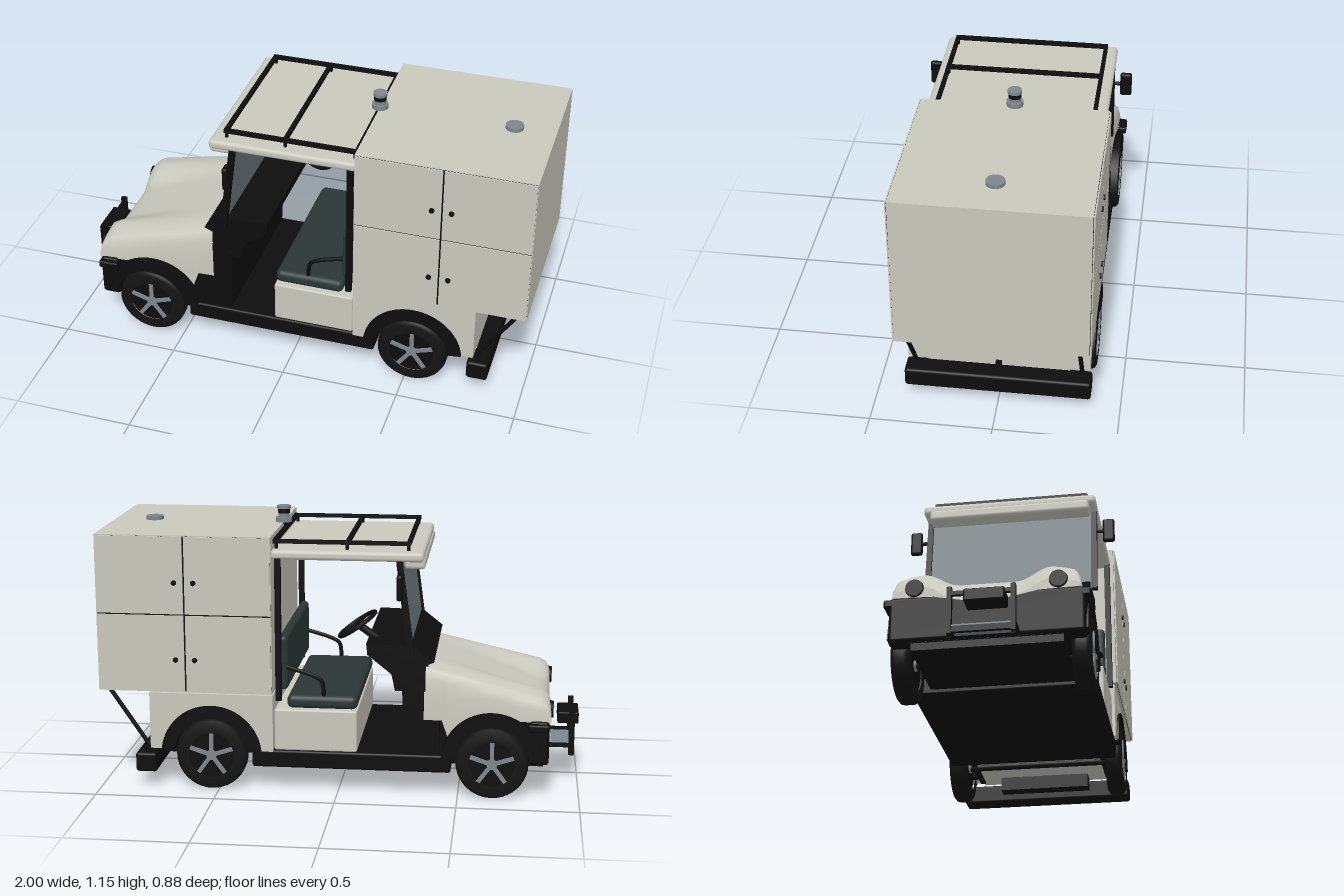
import * as THREE from 'three';
import { RoundedBoxGeometry } from 'three/addons/geometries/RoundedBoxGeometry.js';
import { toCreasedNormals } from 'three/addons/utils/BufferGeometryUtils.js';

const mat = (name, color, side = THREE.FrontSide) => {
  const m = new THREE.MeshStandardMaterial({ color, side });
  m.name = name;
  return m;
};

export function createModel() {
  const root = new THREE.Group();
  root.name = 'utilityCart';
  const paint = mat('paint', 0xc9c8bd, THREE.DoubleSide);
  const black = mat('black', 0x0d0d0d);
  const tyreMat = mat('tyre', 0x131313);
  const teal = mat('seatVinyl', 0x2b3637);
  const grey = mat('metalGrey', 0x7d878d);
  const glass = mat('glass', 0x6f7a80, THREE.DoubleSide);

  const add = (name, geo, m, parent = root) => {
    const mesh = new THREE.Mesh(geo, m);
    mesh.name = name;
    parent.add(mesh);
    return mesh;
  };
  // Box given by its limits, with optional rounding
  const box = (name, m, x0, x1, y0, y1, z0, z1, r = 0) => {
    const s = [x1 - x0, y1 - y0, z1 - z0];
    const g = r ? new RoundedBoxGeometry(...s, 3, r) : new THREE.BoxGeometry(...s);
    g.translate((x0 + x1) / 2, (y0 + y1) / 2, (z0 + z1) / 2);
    return add(name, g, m);
  };
  // Round bar between two points
  const bar = (name, m, a, b, r) => {
    const A = new THREE.Vector3(...a), B = new THREE.Vector3(...b);
    const d = B.clone().sub(A);
    const mesh = add(name, new THREE.CylinderGeometry(r, r, d.length(), 10), m);
    mesh.position.copy(A).add(B).multiplyScalar(0.5);
    mesh.quaternion.setFromUnitVectors(new THREE.Vector3(0, 1, 0), d.normalize());
    return mesh;
  };
  // Side profile extruded from z0 to z1
  const extrude = (name, m, shape, z0, z1) => {
    const g = new THREE.ExtrudeGeometry(shape, { depth: z1 - z0, bevelEnabled: false, curveSegments: 24 });
    g.translate(0, 0, z0);
    return add(name, toCreasedNormals(g, 0.6), m);
  };
  const poly = (pts) => new THREE.Shape(pts.map((p) => new THREE.Vector2(...p)));
  const drum = (name, m, x, y0, y1, r) =>
    add(name, new THREE.CylinderGeometry(r, r, y1 - y0, 28), m).position.set(x, (y0 + y1) / 2, 0);
  const sides = [1, -1];

  // Cargo box with four doors on each side
  box('cargoBox', paint, 0.27, 1.0, 0.42, 1.08, -0.381, 0.381);
  for (const s of sides) {
    const zr = (a, b) => (s > 0 ? [a, b] : [-b, -a]);
    box('doorGap', black, 0.273, 0.997, 0.424, 1.076, ...zr(0.38, 0.383));
    for (const [x0, x1] of [[0.273, 0.627], [0.634, 0.997]])
      for (const [y0, y1] of [[0.424, 0.747], [0.753, 1.076]])
        box('cargoDoor', paint, x0, x1, y0, y1, ...zr(0.382, 0.388));
    for (const x of [0.59, 0.67]) for (const y of [0.56, 0.885]) {
      const k = add('doorKnob', new THREE.CylinderGeometry(0.011, 0.011, 0.01, 12), black);
      k.rotation.x = Math.PI / 2;
      k.position.set(x, y, s * 0.39);
    }
  }
  drum('roofCap', grey, 0.83, 1.078, 1.096, 0.037);

  // Beacon
  drum('beaconPost', black, 0.27, 1.04, 1.09, 0.012);
  drum('beaconBase', grey, 0.27, 1.08, 1.1, 0.034);
  drum('beaconNeck', grey, 0.27, 1.1, 1.117, 0.024);
  drum('beaconBand', black, 0.27, 1.117, 1.137, 0.026);
  drum('beaconTop', grey, 0.27, 1.137, 1.15, 0.029);

  // Rear body with arched side panels
  box('rearBodyCore', paint, 0.27, 0.79, 0.16, 0.42, -0.29, 0.29);
  const panel = new THREE.Shape();
  panel.moveTo(0.27, 0.17);
  panel.lineTo(0.321, 0.17);
  panel.absarc(0.53, 0.15, 0.21, Math.PI - 0.095, 0.095, true);
  panel.lineTo(0.79, 0.17);
  panel.lineTo(0.79, 0.412);
  panel.lineTo(0.27, 0.412);
  for (const s of sides) {
    extrude('rearSidePanel', paint, panel, s > 0 ? 0.285 : -0.372, s > 0 ? 0.372 : -0.285);
    bar('rearStrut', black, [0.97, 0.425, s * 0.34], [0.8, 0.17, s * 0.34], 0.009);
  }
  box('rearBumper', black, 0.765, 0.855, 0.065, 0.148, -0.38, 0.38, 0.012);
  box('bumperMount', black, 0.7, 0.78, 0.1, 0.16, -0.2, 0.2);
  box('hitch', black, 0.785, 0.805, 0.163, 0.185, -0.012, 0.012);

  // Floor and sills
  box('floor', black, -0.85, 0.36, 0.12, 0.17, -0.29, 0.29);
  box('sill', black, -0.47, 0.36, 0.1, 0.175, -0.365, 0.365, 0.01);

  // Seat
  box('seatBox', paint, -0.08, 0.265, 0.175, 0.352, -0.36, 0.36, 0.008);
  box('seatCushion', teal, -0.08, 0.215, 0.352, 0.41, -0.345, 0.345, 0.024);
  box('seatBack', teal, 0.21, 0.25, 0.43, 0.66, -0.34, 0.34, 0.018);
  for (const s of sides) {
    const path = new THREE.CatmullRomCurve3([[0.06, 0.4], [0.07, 0.47], [0.1, 0.49], [0.23, 0.53]]
      .map(([x, y]) => new THREE.Vector3(x, y, s * 0.325)));
    add('armrest', new THREE.TubeGeometry(path, 16, 0.009, 8), black);
  }

  // Canopy, rack and posts
  box('canopy', paint, -0.35, 0.275, 0.985, 1.025, -0.368, 0.368, 0.016);
  box('canopyVisor', paint, -0.355, -0.27, 0.953, 1.0, -0.34, 0.34, 0.014);
  for (const s of sides) {
    box('rackRail', black, -0.295, 0.27, 1.046, 1.062, s * 0.32 - 0.008, s * 0.32 + 0.008);
    for (const x of [-0.285, -0.035, 0.255]) bar('rackFoot', black, [x, 1.02, s * 0.32], [x, 1.05, s * 0.32], 0.007);
    box('rearPost', black, 0.234, 0.258, 0.39, 0.99, s * 0.355 - 0.012, s * 0.355 + 0.012);
    extrude('frontPillar', black, poly([[-0.315, 0.6], [-0.287, 0.6], [-0.238, 0.99], [-0.262, 0.99]]),
      s * 0.352 - 0.012, s * 0.352 + 0.012);
    box('mirror', black, -0.27, -0.245, 0.84, 0.945, s * 0.413 - 0.025, s * 0.413 + 0.025, 0.01);
    bar('mirrorArm', black, [-0.265, 0.89, s * 0.35], [-0.258, 0.89, s * 0.4], 0.008);
  }
  for (const x of [-0.287, -0.037, 0.262]) box('rackCrossbar', black, x - 0.008, x + 0.008, 1.046, 1.062, -0.32, 0.32);
  extrude('windshield', glass, poly([[-0.303, 0.6], [-0.297, 0.6], [-0.248, 0.987], [-0.254, 0.987]]), -0.342, 0.342);

  // Dashboard and steering
  extrude('dashboard', black, poly([[-0.395, 0.565], [-0.31, 0.632], [-0.115, 0.637], [-0.12, 0.59], [-0.22, 0.51],
    [-0.235, 0.44], [-0.36, 0.44], [-0.36, 0.55]]), -0.335, 0.335);
  extrude('kickPanel', black, poly([[-0.42, 0.17], [-0.28, 0.17], [-0.265, 0.46], [-0.355, 0.5], [-0.355, 0.32],
    [-0.42, 0.32]]), -0.352, 0.352);
  const axis = new THREE.Vector3(0.57, 0.82, 0).normalize();
  bar('steeringColumn', black, [-0.2, 0.59, -0.19], [-0.065, 0.685, -0.19], 0.016);
  const steering = new THREE.Group();
  steering.name = 'steeringWheel';
  add('rim', new THREE.TorusGeometry(0.09, 0.009, 8, 32), black, steering);
  for (let i = 0; i < 3; i++) {
    const g = new THREE.BoxGeometry(0.09, 0.016, 0.01).translate(0.045, 0, 0);
    add('spoke', g, black, steering).rotation.z = Math.PI / 2 + i * Math.PI * 2 / 3;
  }
  steering.quaternion.setFromUnitVectors(new THREE.Vector3(0, 0, 1), axis);
  steering.position.set(-0.065, 0.685, -0.19);
  root.add(steering);

  // Hood: cross-sections with raised fenders and a valley that fades rearward
  const stations = [-0.878, -0.874, -0.86, -0.83, -0.79, -0.75, -0.7, -0.64, -0.58, -0.53, -0.49, -0.455, -0.43, -0.355];
  const noseDrop = [0.06, 0.03, 0.008];
  const pos = [], idx = [], N = 41;
  stations.forEach((x, i) => {
    const t = THREE.MathUtils.clamp((x + 0.878) / 0.523, 0, 1);
    const arch = 0.15 + Math.sqrt(Math.max(0, 0.0441 - (x + 0.64) ** 2));
    const bottom = x < -0.56 ? Math.max(0.33, arch) : x < -0.44 ? arch : 0.32;
    const top = 0.435 + 0.125 * t - (noseDrop[i] || 0);
    const half = 0.362 - 0.025 * t;
    for (let j = 0; j < N; j++) {
      const u = (j / (N - 1)) * 2 - 1, a = Math.abs(u);
      const f = Math.min(1, a / 0.82);
      const turn = THREE.MathUtils.clamp((a - 0.82) / 0.18, 0, 1) * Math.PI / 2;
      const z = half * Math.sign(u) * (0.9 * f + 0.1 * Math.sin(turn));
      const valley = 0.065 * (1 - t) ** 1.3 * (1 - THREE.MathUtils.smoothstep(Math.abs(z), 0.11, 0.25));
      const crown = top - valley - 0.02 * f ** 6;
      const y = THREE.MathUtils.lerp(bottom, crown, Math.max(0, Math.cos(turn)) ** 0.8);
      pos.push(x, y, z);
    }
  });
  for (let i = 0; i < stations.length - 1; i++)
    for (let j = 0; j < N - 1; j++) {
      const p = i * N + j, q = p + N;
      idx.push(p, p + 1, q, q, p + 1, q + 1);
    }
  const hood = new THREE.BufferGeometry();
  hood.setAttribute('position', new THREE.Float32BufferAttribute(pos, 3));
  hood.setIndex(idx);
  hood.computeVertexNormals();
  add('hood', hood, paint);
  // Nose panel closes the first section, dipping at the middle
  const nose = new THREE.Shape();
  nose.moveTo(-pos[2], pos[1]);
  for (let j = 1; j < N; j++) nose.lineTo(-pos[j * 3 + 2], pos[j * 3 + 1]);
  nose.lineTo(-0.2, 0.325);
  nose.lineTo(0, 0.285);
  nose.lineTo(0.2, 0.325);
  add('nosePanel', new THREE.ShapeGeometry(nose).rotateY(-Math.PI / 2).translate(-0.878, 0, 0), paint);
  box('hoodSeam', black, -0.37, -0.355, 0.44, 0.55, -0.3, 0.3);
  box('engineBay', black, -0.86, -0.36, 0.15, 0.33, -0.29, 0.29);
  box('frontBumper', black, -0.872, -0.79, 0.15, 0.335, -0.375, 0.375, 0.015);

  // Front guard with sensor
  box('sensor', black, -1.0, -0.91, 0.24, 0.29, -0.064, 0.09, 0.006);
  box('guardPlate', grey, -0.975, -0.885, 0.152, 0.158, -0.115, 0.115);
  for (const y of [0.135, 0.285]) box('guardCrossbar', black, -0.978, -0.962, y - 0.008, y + 0.008, -0.12, 0.12);
  for (const s of sides) {
    box('guardPost', black, -0.982, -0.958, 0.12, 0.31, s * 0.12 - 0.009, s * 0.12 + 0.009);
    box('guardArm', black, -0.97, -0.86, 0.154, 0.17, s * 0.12 - 0.007, s * 0.12 + 0.007);
    box('bumperCorner', black, -0.872, -0.785, 0.295, 0.328, s * 0.37 - 0.026, s * 0.37 + 0.026, 0.008);
    const lamp = add('headlight', new THREE.CylinderGeometry(0.034, 0.038, 0.016, 24), black);
    lamp.rotation.z = Math.PI / 2;
    lamp.position.set(-0.879, 0.365, s * 0.275);
  }

  // Wheels, arch trims and liners
  const tyre = new THREE.LatheGeometry([[0.095, -0.036], [0.135, -0.037], [0.147, -0.028], [0.15, -0.015], [0.15, 0.015],
    [0.147, 0.028], [0.135, 0.037], [0.095, 0.036]].map((p) => new THREE.Vector2(...p)), 40).rotateX(Math.PI / 2);
  for (const x of [-0.64, 0.53]) for (const s of sides) {
    const wheel = new THREE.Group();
    wheel.name = 'wheel';
    add('tyre', tyre, tyreMat, wheel);
    add('rimDish', new THREE.CylinderGeometry(0.1, 0.1, 0.056, 32).rotateX(Math.PI / 2), black, wheel);
    add('hub', new THREE.CylinderGeometry(0.022, 0.022, 0.072, 16).rotateX(Math.PI / 2), grey, wheel);
    for (let i = 0; i < 5; i++) {
      const g = new THREE.BoxGeometry(0.09, 0.017, 0.012).translate(0.053, 0, 0.03);
      add('rimSpoke', g, grey, wheel).rotation.z = Math.PI / 2 + i * Math.PI * 0.4;
    }
    wheel.position.set(x, 0.15, s * 0.347);
    if (s < 0) wheel.rotation.y = Math.PI;
    root.add(wheel);
    const ring = new THREE.Shape();
    ring.absarc(x, 0.15, 0.212, 0.1, Math.PI - 0.1, false);
    ring.absarc(x, 0.15, 0.158, Math.PI - 0.1, 0.1, true);
    extrude('archTrim', black, ring, s > 0 ? 0.3 : -0.382, s > 0 ? 0.382 : -0.3);
    const disc = new THREE.Shape();
    disc.absarc(x, 0.15, 0.212, 0, Math.PI, false);
    extrude('archLiner', black, disc, s > 0 ? 0.28 : -0.302, s > 0 ? 0.302 : -0.28);
  }
  bar('frontAxle', black, [-0.64, 0.15, -0.33], [-0.64, 0.15, 0.33], 0.015);
  bar('rearAxle', black, [0.53, 0.15, -0.33], [0.53, 0.15, 0.33], 0.015);
  return root;
}
